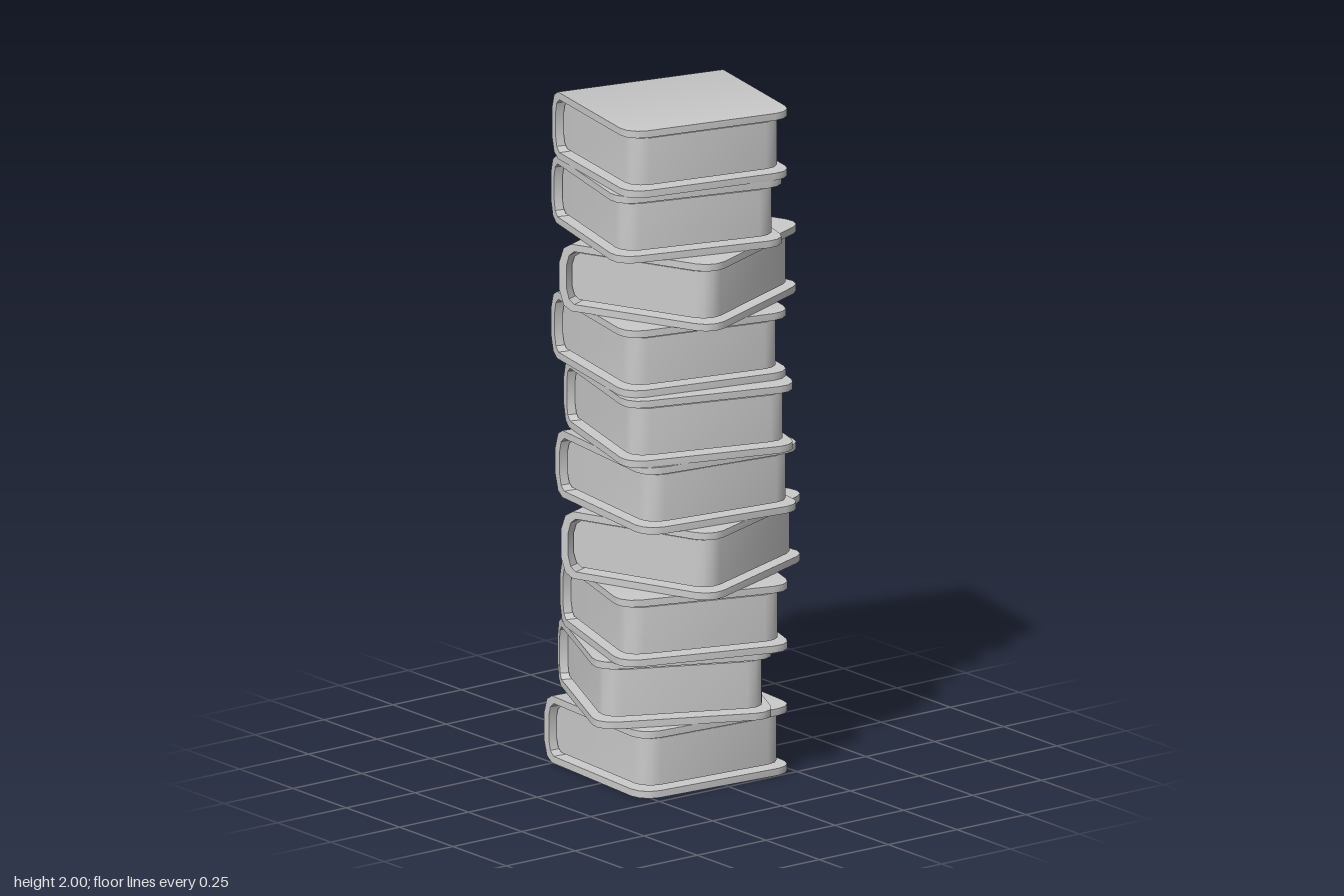
import * as THREE from 'three';
import { toCreasedNormals } from 'three/addons/utils/BufferGeometryUtils.js';

const HEIGHT = 0.2;
const FORE = 1; // section x that marks the free (fore) edge

// Adds the mirror image of a half profile about the book's mid height
function mirrored(half) {
  return [...half, ...half.map(([x, y]) => [x, HEIGHT - y]).reverse()];
}

// Sweeps a section along the spine, rounding the two free corners in plan
function sweep(points, foreX, halfWidth, radius) {
  const stops = [];
  for (let i = 0; i <= 3; i++) {
    const a = (i / 3) * Math.PI / 2;
    stops.push({
      z: -halfWidth + radius * (1 - Math.cos(a)),
      x: foreX - radius * (1 - Math.sin(a)),
    });
  }
  for (let i = 3; i >= 0; i--) stops.push({ z: -stops[i].z, x: stops[i].x });

  const shape = new THREE.Shape(points.map(([x, y]) => new THREE.Vector2(x, y)));
  const steps = stops.length - 1;
  const geo = new THREE.ExtrudeGeometry(shape, { depth: 1, steps, bevelEnabled: false });
  const pos = geo.attributes.position;
  for (let i = 0; i < pos.count; i++) {
    const stop = stops[Math.round(pos.getZ(i) * steps)];
    if (pos.getX(i) > FORE - 0.01) pos.setX(i, stop.x);
    pos.setZ(i, stop.z);
  }
  geo.clearGroups();
  return toCreasedNormals(geo, 0.6);
}

export function createModel() {
  const model = new THREE.Group();
  model.name = 'bookStack';
  const material = new THREE.MeshStandardMaterial({ color: 0xcccccc });

  // Cover: two boards joined by a rounded spine, as one C-shaped section
  const outer = mirrored([[FORE, 0.2], [-0.215, 0.2], [-0.24, 0.185], [-0.255, 0.14]]);
  const inner = mirrored([[FORE, 0.179], [-0.205, 0.179], [-0.222, 0.165], [-0.23, 0.135]]);
  const coverGeo = sweep([...outer, ...inner.reverse()], 0.255, 0.2635, 0.06);

  // Page block: set back from the cover on three sides
  const pages = mirrored([[FORE, 0.17], [-0.2, 0.17], [-0.217, 0.158], [-0.226, 0.13]]);
  const pagesGeo = sweep(pages, 0.232, 0.24, 0.055);

  // Placement from bottom to top: x, z, turn in degrees
  const books = [
    [-0.021, 0.003, 4],
    [-0.014, 0.019, 25],
    [0.028, 0.015, 17.5],
    [0.022, -0.017, -21],
    [0.028, 0.005, 7],
    [0.047, 0.013, 16.5],
    [-0.004, 0.008, 12.5],
    [0.008, -0.017, -23],
    [-0.009, 0.013, 15.5],
    [0.004, 0.01, 12],
  ];
  books.forEach(([x, z, turn], i) => {
    const book = new THREE.Group();
    book.name = `book${i + 1}`;
    const cover = new THREE.Mesh(coverGeo, material);
    cover.name = 'cover';
    const block = new THREE.Mesh(pagesGeo, material);
    block.name = 'pages';
    book.add(cover, block);
    book.position.set(x, i * HEIGHT, z);
    book.rotation.y = -THREE.MathUtils.degToRad(turn);
    model.add(book);
  });
  return model;
}
